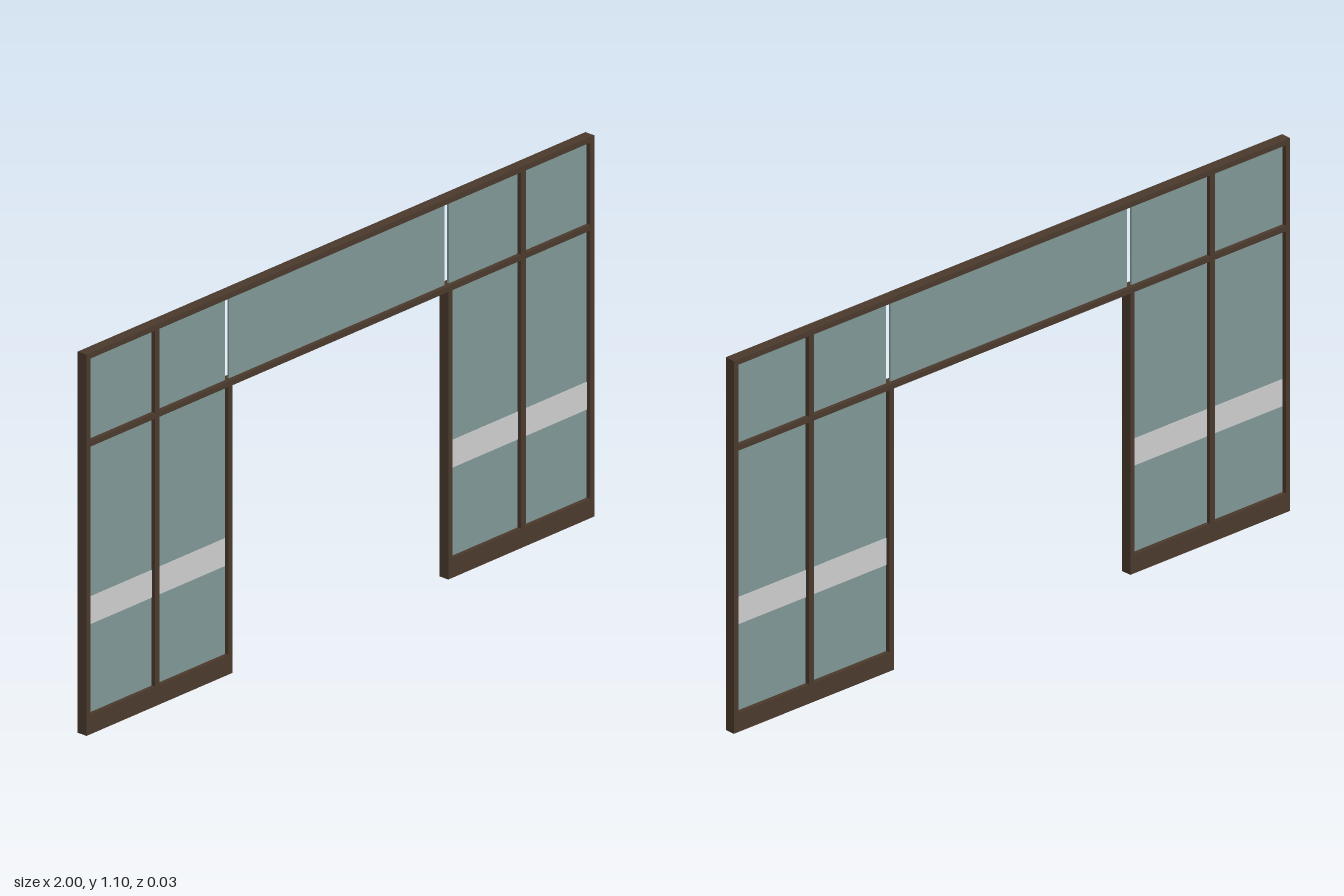
import * as THREE from 'three';

export function createModel() {
  const model = new THREE.Group();
  model.name = 'glazedEntranceScreen';
  const frame = new THREE.MeshStandardMaterial({ color: 0x4a392b });
  const glass = new THREE.MeshStandardMaterial({ color: 0x7f9696 });
  const film = new THREE.MeshStandardMaterial({ color: 0xbcc0bd });

  const DEPTH = 0.032, GLASS = 0.006, FILM = 0.008;
  const TOP = 1.1, RAIL = 0.016, SILL = 0.056;
  const TRANSOM_LOW = 0.83, TRANSOM_HIGH = 0.846;
  const OPENING = 0.425, JAMB = 0.441, MULLION_IN = 0.712, MULLION_OUT = 0.73, EDGE = 0.984;

  // Box given by its x and y limits, centred on z = 0
  function bar(parent, name, x0, x1, y0, y1, depth, material) {
    const mesh = new THREE.Mesh(new THREE.BoxGeometry(Math.abs(x1 - x0), y1 - y0, depth), material);
    mesh.position.set((x0 + x1) / 2, (y0 + y1) / 2, 0);
    mesh.name = name;
    parent.add(mesh);
  }

  // Rails and glass spanning the opening
  bar(model, 'topRail', -EDGE, EDGE, TOP - RAIL, TOP, DEPTH, frame);
  bar(model, 'transom', -EDGE, EDGE, TRANSOM_LOW, TRANSOM_HIGH, DEPTH, frame);
  bar(model, 'overDoorGlass', -OPENING, OPENING, TRANSOM_HIGH, TOP - RAIL, GLASS, glass);

  // Mirrored side screens
  for (const [side, s] of [['left', 1], ['right', -1]]) {
    const screen = new THREE.Group();
    screen.name = side + 'Screen';
    model.add(screen);
    const add = (name, x0, x1, y0, y1, depth, material) =>
      bar(screen, name, s * x0, s * x1, y0, y1, depth, material);

    add('outerPost', EDGE, 1, 0, TOP, DEPTH, frame);
    add('doorJamb', OPENING, JAMB, SILL, TRANSOM_LOW, DEPTH, frame);
    add('sill', OPENING, EDGE, 0, SILL, DEPTH, frame);
    add('lowerMullion', MULLION_IN, MULLION_OUT, SILL, TRANSOM_LOW, DEPTH, frame);
    add('upperMullion', MULLION_IN, MULLION_OUT, TRANSOM_HIGH, TOP - RAIL, DEPTH, frame);

    // Panes on either side of the mullion, with a frosted safety band
    for (const [x0, x1] of [[JAMB, MULLION_IN], [MULLION_OUT, EDGE]]) {
      add('lowerGlass', x0, x1, SILL, TRANSOM_LOW, GLASS, glass);
      add('upperGlass', x0, x1, TRANSOM_HIGH, TOP - RAIL, GLASS, glass);
      add('frostedBand', x0, x1, 0.31, 0.39, FILM, film);
    }
  }
  return model;
}
